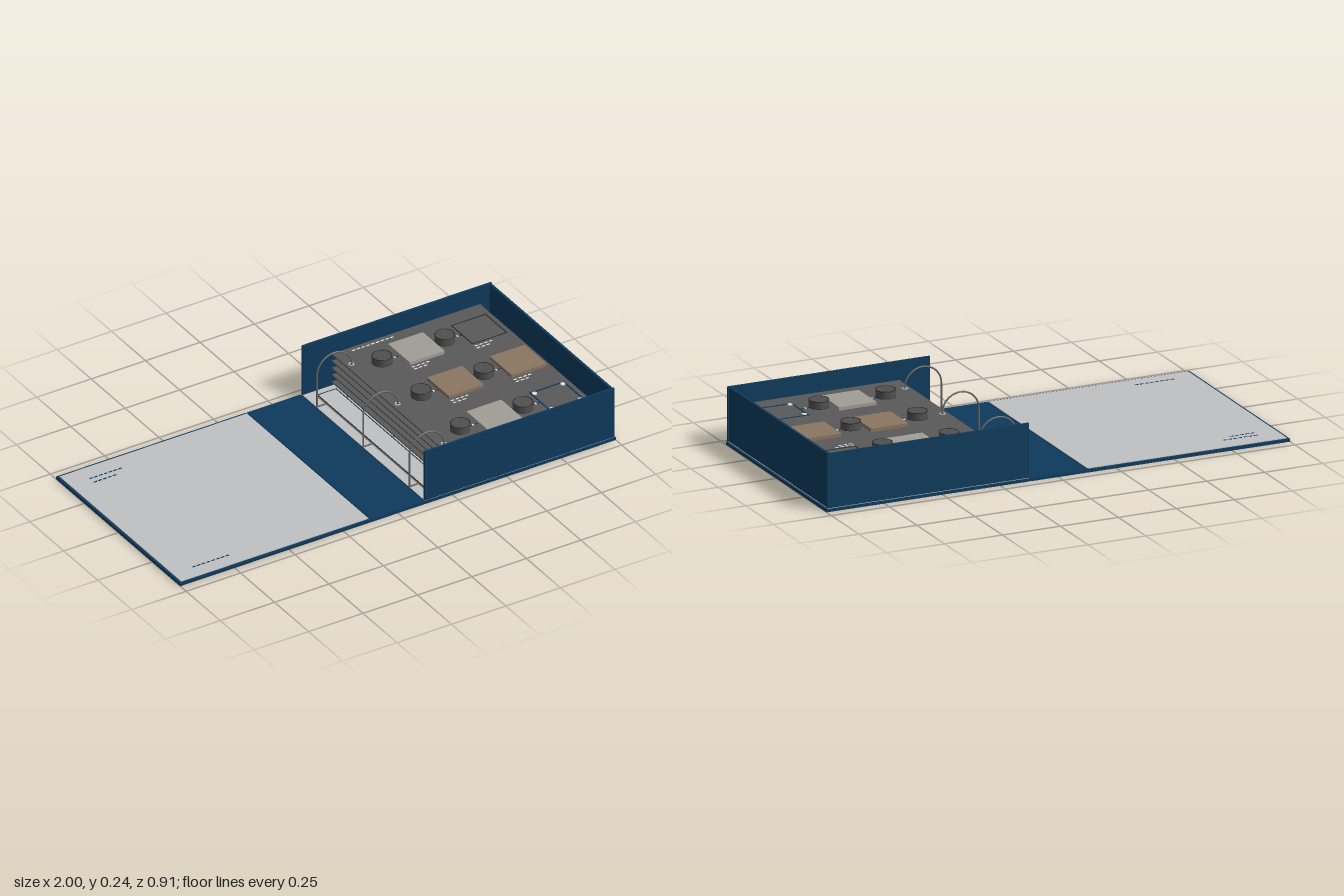
import * as THREE from 'three';

const mat = (name, color) => {
  const m = new THREE.MeshStandardMaterial({ color });
  m.name = name;
  return m;
};

export function createModel() {
  const navy = mat('navy board', 0x0e3a5c);
  const grey = mat('pale liner', 0xc0c1c3);
  const dark = mat('dark sheet', 0x595959);
  const knobGrey = mat('knob grey', 0x505050);
  const black = mat('outline', 0x2c2e30);
  const steel = mat('ring steel', 0x66686a);
  const beige = mat('pale swatch', 0xa09d96);
  const brown = mat('brown swatch', 0x8a7561);
  const white = mat('white mark', 0xe4e4e4);

  const root = new THREE.Group();
  root.name = 'openBinderBox';
  const add = (parent, name, geometry, material, x = 0, y = 0, z = 0) => {
    const m = new THREE.Mesh(geometry, material);
    m.name = name;
    m.position.set(x, y, z);
    parent.add(m);
    return m;
  };
  // Box given by its limits on each axis
  const box = (parent, name, material, x0, x1, y0, y1, z0, z1) =>
    add(parent, name, new THREE.BoxGeometry(x1 - x0, y1 - y0, z1 - z0), material,
      (x0 + x1) / 2, (y0 + y1) / 2, (z0 + z1) / 2);
  // Square or rectangular outline made of four thin strips
  const frame = (parent, name, material, x0, x1, z0, z1, y, t, h = 0.002) => {
    const g = new THREE.Group();
    g.name = name;
    parent.add(g);
    for (const [a, b] of [[z0, z0 + t], [z1 - t, z1]]) box(g, 'edgeStrip', material, x0, x1, y, y + h, a, b);
    for (const [a, b] of [[x0, x0 + t], [x1 - t, x1]]) box(g, 'edgeStrip', material, a, b, y, y + h, z0 + t, z1 - t);
  };
  // Row of short dashes standing for a caption
  const caption = (parent, material, x, y, z, length) => {
    for (let d = 0; d < length; d += 0.022)
      box(parent, 'captionDash', material, x + d, x + Math.min(d + 0.015, length), y, y + 0.001, z - 0.003, z + 0.003);
  };

  // Cover, spine and base boards joined by thin hinges
  const W = 0.457;
  box(root, 'coverBoard', navy, -1, -0.13, 0, 0.012, -W, W);
  box(root, 'spineBoard', navy, -0.124, 0.119, 0, 0.012, -W, W);
  box(root, 'baseBoard', navy, 0.125, 1, 0, 0.012, -W, W);
  for (const x of [-0.127, 0.122]) box(root, 'hinge', navy, x - 0.003, x + 0.003, 0.001, 0.009, -W, W);
  box(root, 'coverLiner', grey, -0.99, -0.13, 0.012, 0.015, -0.447, 0.447);
  box(root, 'baseLiner', grey, 0.125, 0.993, 0.012, 0.015, -0.453, 0.453);
  for (const [z, l] of [[-0.37, 0.15], [-0.34, 0.11], [0.385, 0.17]]) caption(root, navy, -0.9, 0.015, z, l);

  // Tray walls, open towards the spine
  for (const s of [-1, 1])
    add(root, 'sideWall', new THREE.BoxGeometry(0.87, 0.224, 0.01), navy, 0.56, 0.127, s * 0.45);
  box(root, 'endWall', navy, 0.982, 0.992, 0.015, 0.238, -0.445, 0.445);

  // Ring mechanism
  box(root, 'ringPlate', grey, 0.165, 0.25, 0.015, 0.026, -0.4, 0.4);
  frame(root, 'ringPlateEdge', black, 0.163, 0.252, -0.402, 0.402, 0.025, 0.004);
  const ringPath = new THREE.CurvePath();
  const v = (x, y) => new THREE.Vector3(x, y, 0);
  const arc = [];
  for (let i = 0; i <= 16; i++) {
    const a = Math.PI * (1 - i / 16);
    arc.push(v(0.205 + 0.08 * Math.cos(a), 0.161 + 0.08 * Math.sin(a)));
  }
  ringPath.add(new THREE.LineCurve3(v(0.125, 0.016), arc[0]));
  ringPath.add(new THREE.CatmullRomCurve3(arc));
  ringPath.add(new THREE.LineCurve3(arc[16], v(0.285, 0.016)));
  const ringGeometry = new THREE.TubeGeometry(ringPath, 64, 0.0035, 8, false);
  const ringZ = [-0.34, 0, 0.34];
  for (const z of ringZ) {
    add(root, 'binderRing', ringGeometry, steel, 0, 0, z);
    box(root, 'ringFoot', steel, 0.123, 0.287, 0.015, 0.019, z - 0.003, z + 0.003);
  }

  // Stack of punched sheets
  const top = 0.162;
  for (let i = 0; i < 5; i++) {
    const y = top - i * 0.032;
    box(root, 'sheet', dark, 0.258, 0.938, y - 0.006, y, -0.443, 0.443);
  }
  const eyelet = new THREE.TorusGeometry(0.01, 0.002, 6, 20).rotateX(Math.PI / 2);
  for (const z of ringZ) add(root, 'eyelet', eyelet, white, 0.283, top, z);

  // Fittings on the top sheet: a knob and a swatch in each cell
  const knob = new THREE.CylinderGeometry(0.04, 0.04, 0.03, 32);
  const rim = new THREE.TorusGeometry(0.039, 0.002, 6, 32).rotateX(Math.PI / 2);
  const swatches = [[beige, null], [brown, brown], [beige, 'corners']];
  [-0.29, -0.003, 0.286].forEach((z, row) => {
    [0.55, 0.838].forEach((x, col) => {
      const kx = x - 0.158;
      add(root, 'knob', knob, knobGrey, kx, top + 0.015, z);
      for (const y of [0.001, 0.03]) add(root, 'knobRim', rim, black, kx, top + y, z);
      box(root, 'knobLead', black, kx + 0.04, x - 0.08, top, top + 0.002, z - 0.002, z + 0.002);
      box(root, 'leadMark', white, kx + 0.054, kx + 0.062, top, top + 0.003, z - 0.004, z + 0.004);
      const kind = swatches[row][col];
      const h = 0.08;
      if (kind === null) {
        frame(root, 'emptyCell', black, x - h, x + h, z - h, z + h, top, 0.004);
      } else if (kind === 'corners') {
        frame(root, 'markedCell', navy, x - h, x + h, z - h, z + h, top, 0.006);
        for (const sx of [-1, 1]) for (const sz of [-1, 1])
          add(root, 'cornerDot', new THREE.CylinderGeometry(0.01, 0.01, 0.004, 12), white,
            x + sx * 0.065, top + 0.002, z + sz * 0.065);
      } else {
        box(root, 'swatch', kind, x - h, x + h, top, top + 0.014, z - h, z + h);
      }
      caption(root, white, x - h, top, z + 0.095, row === 2 ? (col ? 0 : 0.13) : 0.08);
      if (row < 2) caption(root, white, x - h, top, z + 0.112, 0.06);
    });
  });
  caption(root, white, 0.335, top, -0.42, 0.19);

  return root;
}
